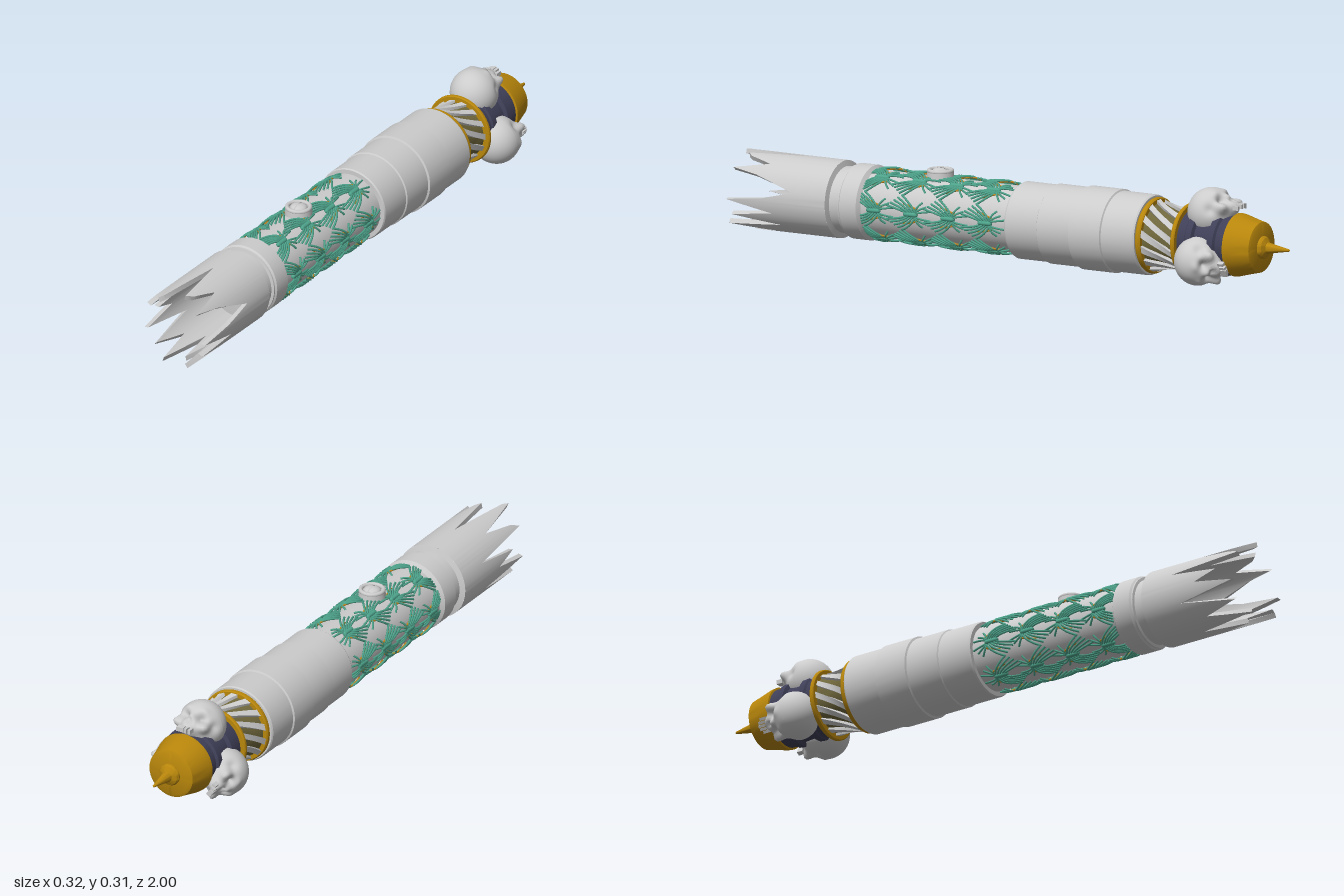
import * as THREE from 'three';
import { toCreasedNormals } from 'three/addons/utils/BufferGeometryUtils.js';

const mat = (color, side = THREE.FrontSide) => new THREE.MeshStandardMaterial({ color, side });
const grey = mat(0xcccccc);
const gold = mat(0xb8860b);
const olive = mat(0x6f673c);
const navy = mat(0x3f3f58);
const green = mat(0x4fa68d);
const amber = mat(0xc48a22);

// Point around the long (z) axis; angle a runs from the top towards +x
const polar = (a, r, z) => new THREE.Vector3(r * Math.sin(a), r * Math.cos(a), z);

function add(parent, name, geometry, material) {
  const mesh = new THREE.Mesh(geometry, material);
  mesh.name = name;
  parent.add(mesh);
  return mesh;
}

// Turned part along z from [radius, z] pairs with z rising
function turned(points, segments = 56) {
  const g = new THREE.LatheGeometry(points.map(([r, z]) => new THREE.Vector2(r, z)), segments);
  g.rotateX(Math.PI / 2);
  return toCreasedNormals(g, 0.5);
}

// Broken tube end: [degrees from top, z of rim]
function jaggedTube(rim, rOut, rIn, zBase) {
  const pos = [];
  const quad = (a, b, c, d) => [a, b, c, a, c, d].forEach(p => pos.push(p.x, p.y, p.z));
  rim.forEach(([deg, z], i) => {
    const [nextDeg, nextZ] = i + 1 < rim.length ? rim[i + 1] : [rim[0][0] + 360, rim[0][1]];
    const steps = 3;
    for (let k = 0; k < steps; k++) {
      const at = t => [THREE.MathUtils.degToRad(deg + (nextDeg - deg) * t), z + (nextZ - z) * t];
      const [a0, z0] = at(k / steps), [a1, z1] = at((k + 1) / steps);
      quad(polar(a0, rOut, zBase), polar(a0, rOut, z0), polar(a1, rOut, z1), polar(a1, rOut, zBase));
      quad(polar(a1, rIn, zBase), polar(a1, rIn, z1), polar(a0, rIn, z0), polar(a0, rIn, zBase));
      quad(polar(a0, rOut, z0), polar(a0, rIn, z0), polar(a1, rIn, z1), polar(a1, rOut, z1));
    }
  });
  const g = new THREE.BufferGeometry();
  g.setAttribute('position', new THREE.Float32BufferAttribute(pos, 3));
  g.computeVertexNormals();
  return toCreasedNormals(g, 0.5);
}

// Helical blade wrapped around the waisted neck
function vane() {
  const g = new THREE.BoxGeometry(0.2, 0.014, 0.11, 1, 1, 10);
  const p = g.attributes.position;
  for (let i = 0; i < p.count; i++) {
    const t = 0.5 - p.getZ(i) / 0.11;
    const r = 0.109 - 0.045 * t + 0.03 * t * t + p.getY(i);
    const v = polar(p.getX(i) + 0.65 * t, r, -0.52 - 0.11 * t);
    p.setXYZ(i, v.x, v.y, v.z);
  }
  g.computeVertexNormals();
  return toCreasedNormals(g, 0.6);
}

// Skull: an ellipsoid shaped by bumps and hollows [direction, height, width]
function skullGeometry() {
  const features = [
    [[0, 0.3, -0.95], 0.36, 0.34],                                  // upper jaw
    [[0, 0.5, -0.87], -0.24, 0.11],                                 // nose opening
    [[0, 0.68, -0.73], 0.06, 0.12],                                 // nose bridge
  ];
  for (const s of [-1, 1]) features.push(
    [[s * 0.38, 0.62, -0.69], -0.3, 0.2],                           // eye socket
    [[s * 0.4, 0.82, -0.45], 0.07, 0.2],                            // brow
    [[s * 0.56, 0.32, -0.77], 0.32, 0.2],                           // cheekbone
    [[s * 0.85, 0.25, -0.4], -0.12, 0.22],                          // temple
  );
  const g = new THREE.SphereGeometry(1, 64, 44);
  const p = g.attributes.position;
  const d = new THREE.Vector3(), c = new THREE.Vector3();
  for (let i = 0; i < p.count; i++) {
    d.fromBufferAttribute(p, i).normalize();
    let r = 1;
    for (const [dir, h, w] of features) {
      c.fromArray(dir).normalize();
      r += h * Math.exp(-c.distanceToSquared(d) / (w * w));
    }
    p.setXYZ(i, d.x * r * 0.077, d.y * r * 0.078, d.z * r * 0.076);
  }
  g.computeVertexNormals();
  return g;
}

// Strand that hugs the grip between two [angle, z] ends, bulging in the middle
function strand([a0, z0], [a1, z1], radius, lift) {
  const pts = [0, 0.35, 0.7, 1].map(t => polar(
    a0 + (a1 - a0) * t, 0.106 + lift * Math.sin(Math.PI * (0.15 + 0.8 * t)),
    z0 + (z1 - z0) * Math.pow(t, 1.5)));
  return new THREE.TubeGeometry(new THREE.CatmullRomCurve3(pts), 7, radius, 5);
}

export function createModel() {
  const root = new THREE.Group();
  root.name = 'hilt';
  const body = new THREE.Group();
  body.name = 'body';
  body.position.y = 0.134;
  root.add(body);

  // Broken crown and the collar behind it
  const rim = [
    [0, 0.75], [13, 0.95], [22, 0.93], [35, 0.85], [48, 0.97], [56, 0.88], [77, 0.74], [90, 0.85],
    [97, 0.98], [112, 0.82], [122, 0.97], [134, 0.8], [146, 1.0], [160, 0.84], [172, 0.93], [184, 0.78],
    [198, 0.98], [212, 0.83], [226, 0.95], [242, 0.76], [256, 0.96], [268, 0.82], [280, 0.9],
    [292, 0.73], [304, 0.97], [313, 0.93], [324, 0.82], [341, 1.0], [346, 0.98],
  ];
  add(body, 'brokenCrown', jaggedTube(rim, 0.123, 0.107, 0.62), grey);
  add(body, 'collar', turned([
    [0.105, 0.5], [0.119, 0.51], [0.119, 0.57], [0.114, 0.575], [0.114, 0.58], [0.105, 0.582],
    [0.105, 0.615], [0.123, 0.62], [0.108, 0.622], [0, 0.622]]), grey);

  // Grip core and stepped sleeve
  add(body, 'gripCore', turned([[0.105, -0.04], [0.105, 0.51]]), grey);
  add(body, 'sleeve', turned([
    [0.08, -0.505], [0.124, -0.505], [0.127, -0.5], [0.127, -0.386], [0.132, -0.383], [0.132, -0.27],
    [0.126, -0.267], [0.126, -0.152], [0.122, -0.149], [0.122, -0.035], [0.119, -0.03], [0.1, -0.03]]), grey);

  // Vine wrap: columns of knots, each with fans of strands to both sides
  const vines = new THREE.Group();
  vines.name = 'vineWrap';
  body.add(vines);
  const columns = 6, pitch = 0.135;
  for (let c = 0; c < columns; c++) {
    const a = (c + 0.5) * Math.PI * 2 / columns;
    for (let n = 0; n < 4; n++) {
      const z = 0.045 + n * pitch;
      const knot = add(vines, 'knot', new THREE.CapsuleGeometry(0.008, 0.035, 3, 8), green);
      knot.position.copy(polar(a, 0.111, z));
      knot.rotation.x = Math.PI / 2;
      for (const s of [-1, 1]) {
        for (let k = 0; k < 5; k++) {
          const end = [a + s * (0.2 + 0.085 * k), Math.min(0.5, z + 0.09 - 0.012 * k)];
          add(vines, 'strand', strand([a + s * 0.03, z + 0.012 - 0.008 * k], end, 0.0036, 0.01), green);
        }
        for (let k = 0; k < 3; k++) {
          const end = [a + s * (0.14 + 0.12 * k), Math.max(-0.025, z - 0.07 + 0.016 * k)];
          add(vines, 'strand', strand([a + s * 0.03, z - 0.015], end, 0.0034, 0.008), green);
        }
        add(vines, 'amberStrand',
          strand([a + s * 0.12, z - 0.03], [a + s * 0.3, z + 0.03], 0.003, 0.008), amber);
      }
    }
  }

  // Round button on top of the grip
  const button = new THREE.Group();
  button.name = 'button';
  button.position.set(0, 0.1, 0.272);
  body.add(button);
  add(button, 'buttonBase', new THREE.CylinderGeometry(0.042, 0.045, 0.04, 32), grey).position.y = 0.004;
  const ring = add(button, 'buttonRing', new THREE.TorusGeometry(0.036, 0.007, 10, 32), grey);
  ring.rotation.x = Math.PI / 2;
  ring.position.y = 0.026;
  for (const s of [-1, 1]) {
    const half = add(button, 'buttonHalf',
      new THREE.SphereGeometry(0.026, 12, 6, 0, Math.PI, 0, Math.PI / 2), mat(0xcccccc, THREE.DoubleSide));
    half.scale.y = 0.5;
    half.rotation.y = s * Math.PI / 2;
    half.position.set(s * 0.002, 0.024, 0);
  }

  // Twisted neck between two gold rings
  add(body, 'neckCore', turned([[0.095, -0.64], [0.088, -0.6], [0.093, -0.56], [0.106, -0.515]]), olive);
  const vaneGeometry = vane();
  for (let i = 0; i < 14; i++)
    add(body, 'neckVane', vaneGeometry, grey).rotation.z = i * Math.PI * 2 / 14;
  for (const [r, z, w] of [[0.12, -0.514, 0.009], [0.114, -0.636, 0.007]])
    add(body, 'goldRing', turned([
      [0.08, z - w], [r - 0.003, z - w], [r, z - w * 0.5], [r, z + w * 0.5], [r - 0.003, z + w], [0.08, z + w]]), gold);

  // Ribbed dark core behind the skulls
  add(body, 'darkCore', turned([
    [0.08, -0.83], [0.094, -0.82], [0.094, -0.78], [0.102, -0.775], [0.102, -0.755], [0.09, -0.75],
    [0.09, -0.7], [0.102, -0.695], [0.102, -0.675], [0.096, -0.67], [0.096, -0.64]]), navy);

  // Three skulls, crowns forward, faces turned out and back
  const skull = skullGeometry();
  for (let i = 0; i < 3; i++) {
    const holder = new THREE.Group();
    holder.name = 'skull';
    holder.rotation.z = i * Math.PI * 2 / 3;
    body.add(holder);
    add(holder, 'skullBone', skull, grey).position.set(0, 0.095, -0.715);
    for (let t = -2; t <= 2; t++) {
      const tooth = add(holder, 'tooth', new THREE.BoxGeometry(0.009, 0.014, 0.02), grey);
      tooth.position.set(t * 0.0105, 0.126 - 0.0015 * t * t, -0.824 + 0.002 * t * t);
    }
  }

  // Gold pommel cap with spike
  add(body, 'pommelCap', turned([
    [0, -0.9], [0.07, -0.9], [0.08, -0.895], [0.086, -0.87], [0.098, -0.825], [0.1, -0.81], [0.085, -0.805]]), gold);
  add(body, 'pommelSpike', turned([
    [0, -1], [0.004, -0.995], [0.012, -0.95], [0.018, -0.92], [0.032, -0.912], [0.036, -0.905], [0.036, -0.895]], 32), gold);

  return root;
}
